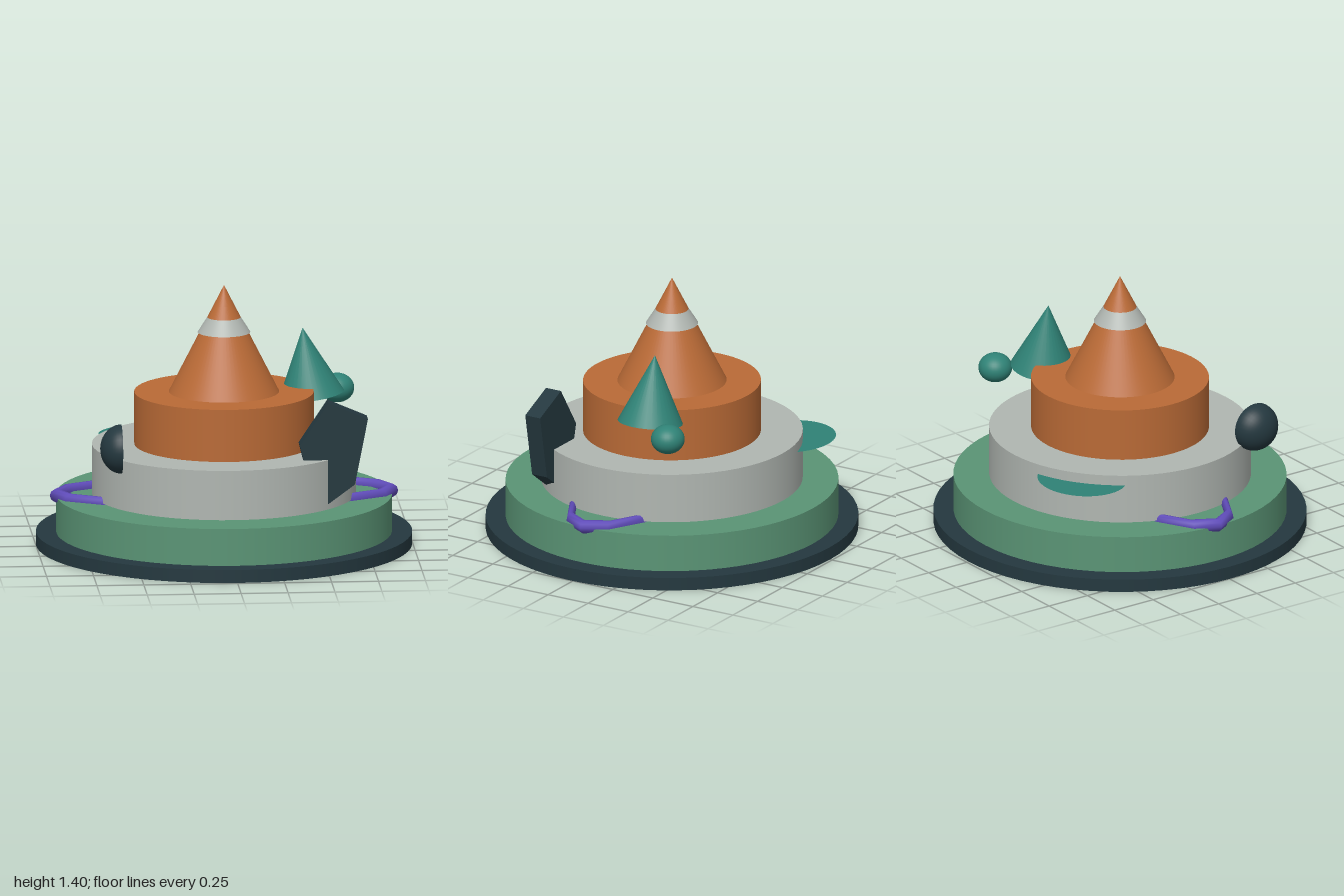
import * as THREE from 'three';

const mat = (name, color) => {
  const m = new THREE.MeshStandardMaterial({ color });
  m.name = name;
  return m;
};

export function createModel() {
  const group = new THREE.Group();
  const charcoal = mat('charcoal', 0x24383f);
  const green = mat('green', 0x5a9475);
  const grey = mat('grey', 0xb0b6b1);
  const orange = mat('orange', 0xb96a36);
  const teal = mat('teal', 0x2f8276);
  const purple = mat('purple', 0x604cba);
  teal.side = THREE.DoubleSide;
  charcoal.side = THREE.DoubleSide;

  const add = (name, geometry, material, x = 0, y = 0, z = 0, parent = group) => {
    const mesh = new THREE.Mesh(geometry, material);
    mesh.name = name;
    mesh.position.set(x, y, z);
    parent.add(mesh);
    return mesh;
  };

  // Stacked round tiers, very slightly narrower front to back
  const tiers = new THREE.Group();
  tiers.name = 'tiers';
  tiers.scale.z = 0.987;
  group.add(tiers);
  const tier = (name, material, rTop, rBottom, y0, y1, open = false) =>
    add(name, new THREE.CylinderGeometry(rTop, rBottom, y1 - y0, 64, 1, open), material, 0, (y0 + y1) / 2, 0, tiers);
  tier('basePlate', charcoal, 1, 1, 0, 0.07);
  tier('lowerTier', green, 0.893, 0.893, 0.07, 0.27);
  tier('middleTier', grey, 0.702, 0.702, 0.277, 0.545);
  tier('upperTier', orange, 0.477, 0.477, 0.545, 0.828);
  tier('peak', orange, 0, 0.293, 0.828, 1.405);
  tier('peakBand', grey, 0.087, 0.14, 1.15, 1.233);

  // Long oval ring whose two ends emerge from under the middle tier
  const ring = new THREE.TorusGeometry(0.892, 0.036, 10, 16);
  ring.rotateX(Math.PI / 2);
  add('ovalRing', ring, purple, 0, 0.274, 0).scale.z = 0.36;

  // Tilted cone and small ball beside the upper tier
  add('sideCone', new THREE.ConeGeometry(0.174, 0.365, 32), teal, 0.454, 0.95, -0.16)
    .rotation.z = THREE.MathUtils.degToRad(7.5);
  add('ball', new THREE.SphereGeometry(0.09, 32, 20), teal, 0.63, 0.758, -0.364).scale.y = 0.87;

  // Thin disc half sunk into the back of the middle tier
  const disc = new THREE.CircleGeometry(1, 48);
  disc.rotateX(-Math.PI / 2);
  add('backDisc', disc, teal, -0.375, 0.49, -0.515).scale.set(0.257, 1, 0.228);

  // Half dome with a flat inner face
  const dome = new THREE.Group();
  dome.name = 'halfDome';
  dome.position.set(-0.58, 0.624, 0.466);
  dome.scale.set(0.113, 0.131, 0.13);
  group.add(dome);
  const shell = new THREE.SphereGeometry(1, 32, 12, 0, Math.PI * 2, 0, Math.PI / 2);
  shell.rotateZ(Math.PI / 2);
  add('domeShell', shell, charcoal, 0, 0, 0, dome);
  const face = new THREE.CircleGeometry(1, 32);
  face.rotateY(Math.PI / 2);
  add('domeFace', face, charcoal, 0, 0, 0, dome);

  // Five-sided slab standing in the middle tier
  const outline = [[0.37, 0.625], [0.46, 0.26], [0.664, 0.41], [0.733, 0.765], [0.523, 0.855]];
  const slab = new THREE.Shape(outline.map(([x, y]) => new THREE.Vector2(x, y)));
  add('slab', new THREE.ExtrudeGeometry(slab, { depth: 0.093, bevelEnabled: false }), charcoal, 0, 0, 0.37);

  return group;
}
